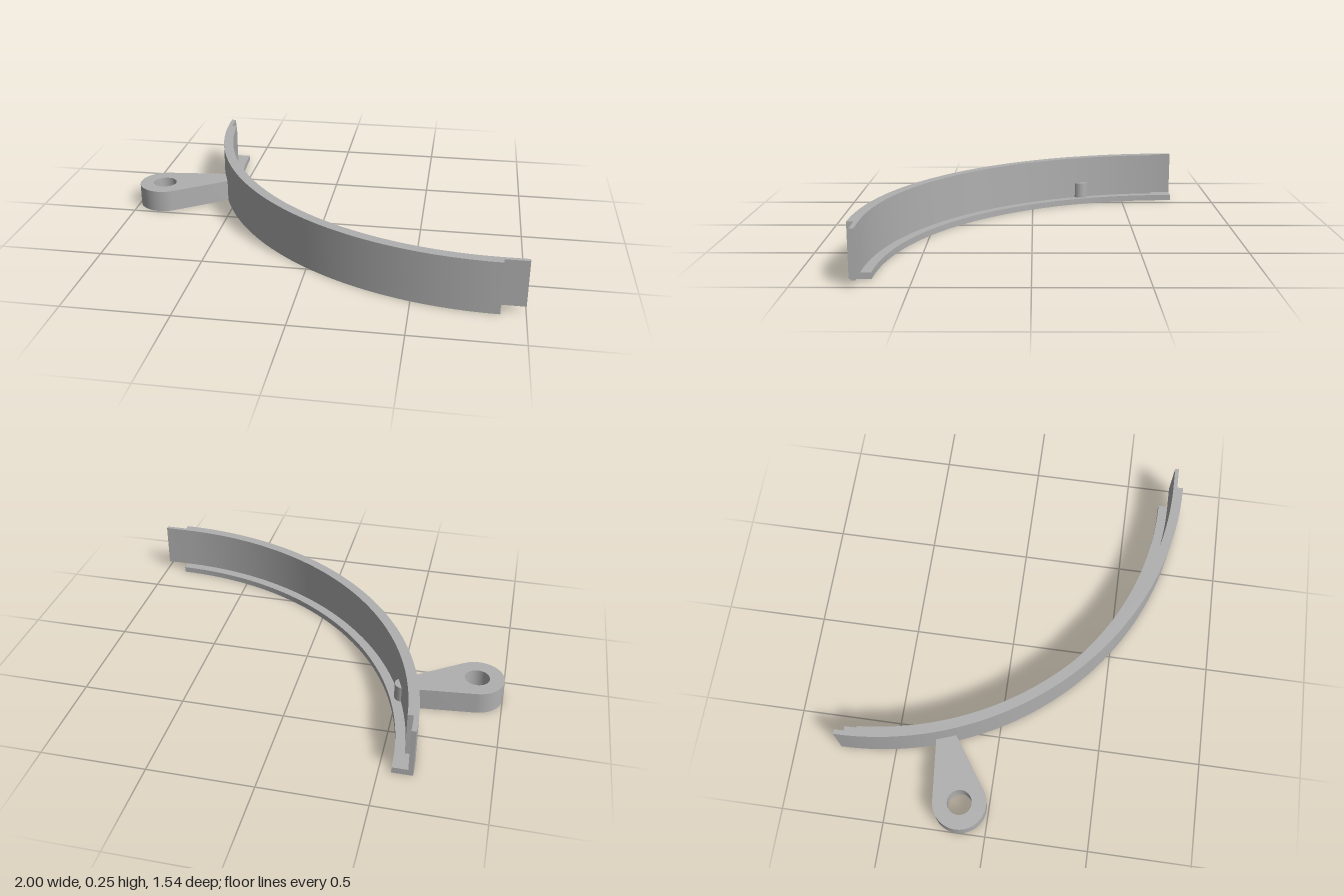
import * as THREE from 'three';
import { toCreasedNormals } from 'three/addons/utils/BufferGeometryUtils.js';

const CX = 0.89, CZ = -0.775;              // centre of the quarter ring
const R_OUT = 1.545, R_WALL = 1.495, R_FLANGE = 1.448, R_SLOT = 1.522;

// points along an arc in plan (x, z)
function arc(cx, cz, r, a0, a1, n) {
  const pts = [];
  for (let i = 0; i <= n; i++) {
    const a = a0 + (a1 - a0) * i / n;
    pts.push(new THREE.Vector2(cx + r * Math.cos(a), cz + r * Math.sin(a)));
  }
  return pts;
}

// extrude a plan outline upward from y0 to y1
function slab(name, shape, y0, y1, material) {
  const g = new THREE.ExtrudeGeometry(shape, { depth: y1 - y0, bevelEnabled: false, curveSegments: 32 });
  g.rotateX(Math.PI / 2);
  g.translate(0, y1, 0);
  const mesh = new THREE.Mesh(toCreasedNormals(g, 0.6), material);
  mesh.name = name;
  return mesh;
}

export function createModel() {
  const group = new THREE.Group();
  group.name = 'ringSegment';
  const grey = new THREE.MeshStandardMaterial({ color: 0xb0b0b0 });
  grey.name = 'grey';
  const A0 = Math.PI / 2, A1 = Math.PI, slot = A1 - 0.07;

  // curved wall with a slot at the back end and a tongue at the front end
  const wall = new THREE.Shape([
    ...arc(CX, CZ, R_OUT, A0, A1, 64),
    ...arc(CX, CZ, R_SLOT, A1, slot, 6),
    ...arc(CX, CZ, R_WALL, slot, A0, 60),
    new THREE.Vector2(1, 0.72),
    new THREE.Vector2(1, 0.74),
    new THREE.Vector2(CX, 0.74),
  ]);
  group.add(slab('wall', wall, 0.03, 0.25, grey));

  // bottom flange, wider toward the inside
  const flange = new THREE.Shape([
    ...arc(CX, CZ, R_OUT, A0, A1, 64),
    ...arc(CX, CZ, R_FLANGE, A1, A0, 64),
  ]);
  group.add(slab('flange', flange, 0, 0.03, grey));

  // tapered lug: two circles joined by tangents, with a bolt hole
  const big = { x: -0.87, z: -0.14, r: 0.13 }, small = { x: -0.53, z: -0.265, r: 0.04 };
  const dx = small.x - big.x, dz = small.z - big.z;
  const dir = Math.atan2(dz, dx);
  const t = Math.acos((big.r - small.r) / Math.hypot(dx, dz));
  const lug = new THREE.Shape([
    ...arc(big.x, big.z, big.r, dir + t, dir + 2 * Math.PI - t, 40),
    ...arc(small.x, small.z, small.r, dir - t, dir + t, 20),
  ]);
  lug.holes.push(new THREE.Path(arc(big.x, big.z, 0.06, 0, -2 * Math.PI, 32).slice(0, -1)));
  group.add(slab('mountingLug', lug, 0, 0.11, grey));

  return group;
}
